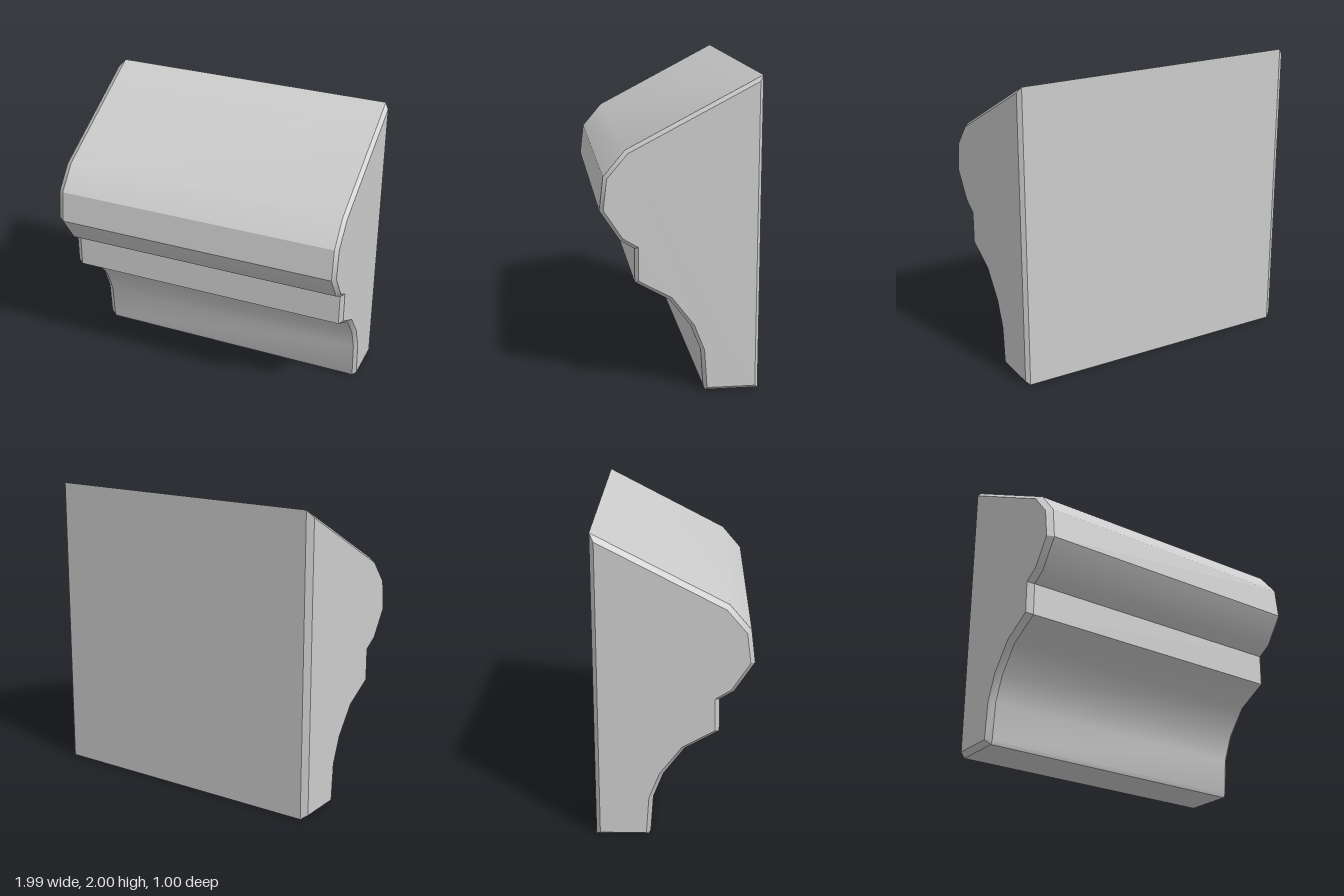
import * as THREE from 'three';
import { toCreasedNormals } from 'three/addons/utils/BufferGeometryUtils.js';

// Moulding section as (z, y): foot, cove, fillet, nose, sloping top, flat back
const PROFILE = [
  [-0.5, 0], [-0.16, 0], [-0.147, 0.03], [-0.13, 0.27], [-0.065, 0.435],
  [0.07, 0.61], [0.285, 0.73], [0.285, 0.945], [0.375, 1.0], [0.5, 1.19],
  [0.475, 1.4], [0.34, 1.56], [-0.5, 2],
].map(([z, y]) => new THREE.Vector2(z, y));

// Mitred inward offset of a closed counter-clockwise outline
function inset(points, amount) {
  const n = points.length;
  const inward = (a, b) => new THREE.Vector2(a.y - b.y, b.x - a.x).normalize();
  return points.map((p, i) => {
    const n0 = inward(points[(i + n - 1) % n], p);
    const n1 = inward(p, points[(i + 1) % n]);
    return n0.clone().add(n1).multiplyScalar(amount / (1 + n0.dot(n1))).add(p);
  });
}

// Joins sections along x and closes both ends
function loft(sections) {
  const positions = [];
  const index = [];
  const n = sections[0].points.length;
  sections.forEach(({ x, points }) => points.forEach((p) => positions.push(x, p.y, p.x)));
  for (let s = 0; s < sections.length - 1; s++) {
    for (let i = 0; i < n; i++) {
      const a = s * n + i;
      const b = s * n + ((i + 1) % n);
      index.push(a, a + n, b + n, a, b + n, b);
    }
  }
  const last = (sections.length - 1) * n;
  THREE.ShapeUtils.triangulateShape(sections[0].points, []).forEach(([a, b, c]) => {
    index.push(a, b, c);
  });
  THREE.ShapeUtils.triangulateShape(sections.at(-1).points, []).forEach(([a, b, c]) => {
    index.push(last + a, last + c, last + b);
  });
  const geometry = new THREE.BufferGeometry();
  geometry.setAttribute('position', new THREE.Float32BufferAttribute(positions, 3));
  geometry.setIndex(index);
  return toCreasedNormals(geometry, 0.55);
}

export function createModel() {
  const group = new THREE.Group();
  group.name = 'mouldingBlock';

  // Straight run with a wider chamfer on one end than the other
  const moulding = new THREE.Mesh(
    loft([
      { x: -0.995, points: inset(PROFILE, 0.028) },
      { x: -0.955, points: PROFILE },
      { x: 0.97, points: PROFILE },
      { x: 0.995, points: inset(PROFILE, 0.022) },
    ]),
    new THREE.MeshStandardMaterial({ color: 0xcccccc }),
  );
  moulding.name = 'moulding';
  group.add(moulding);
  return group;
}
